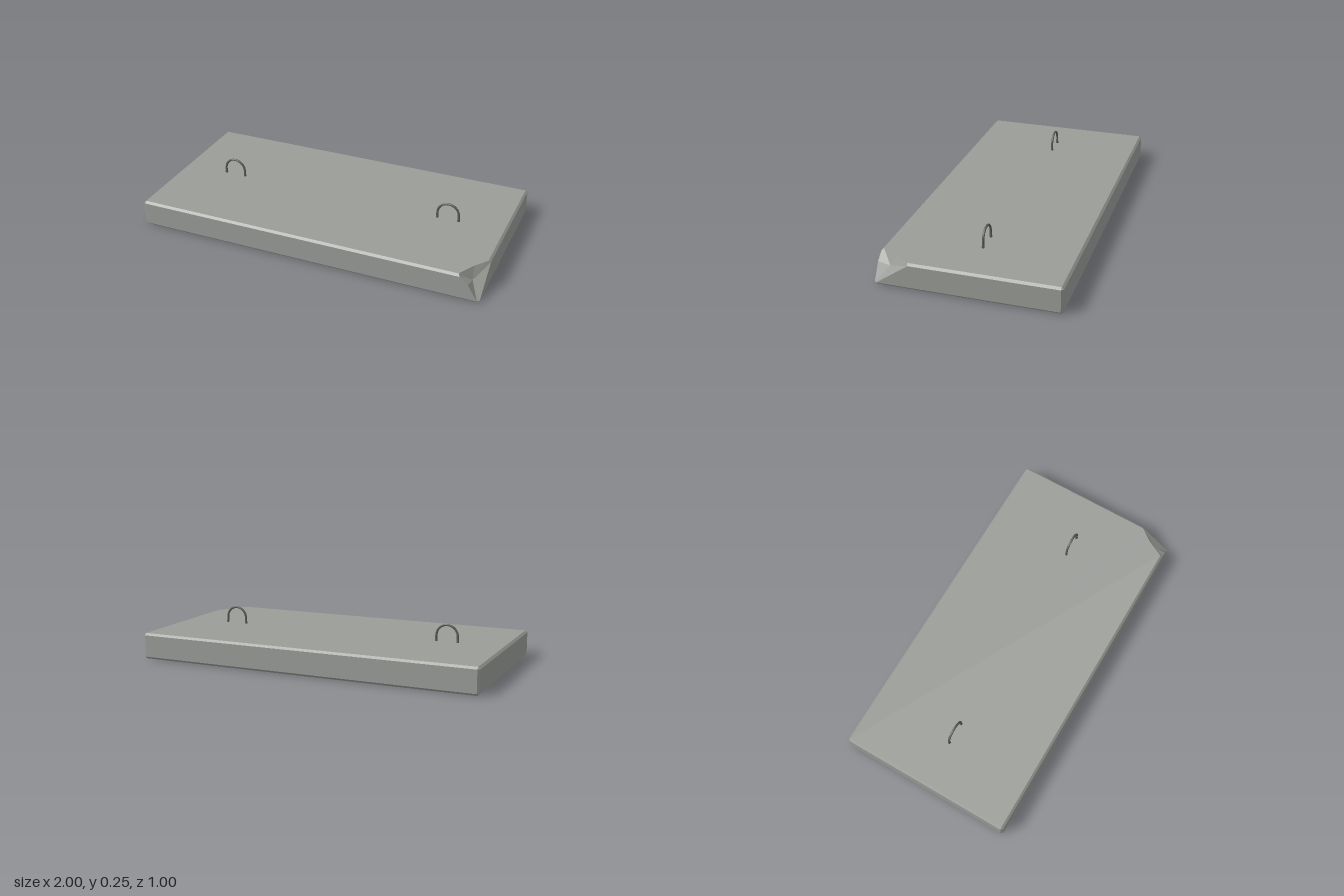
import * as THREE from 'three';

const W = 1, H = 0.15, D = 0.5, B = 0.012; // half width, height, half depth, bevel

// Bevelled points at one vertical corner of the slab
function corner(sx, sz) {
  const x = sx * (W - B), z = sz * (D - B);
  return {
    bo: [x, 0, z], bx: [sx * W, B, z], bz: [x, B, sz * D],
    t: [x, H, z], tx: [sx * W, H - B, z], tz: [x, H - B, sz * D],
  };
}

// Flat-faced geometry from convex polygons, each fanned from its first point
function polygons(faces) {
  const pos = [];
  for (const f of faces)
    for (let i = 1; i < f.length - 1; i++) pos.push(...f[0], ...f[i], ...f[i + 1]);
  const g = new THREE.BufferGeometry();
  g.setAttribute('position', new THREE.Float32BufferAttribute(pos, 3));
  g.computeVertexNormals();
  return g;
}

function slabGeometry() {
  const FL = corner(-1, 1), FR = corner(1, 1), BR = corner(1, -1), BL = corner(-1, -1);
  // Rim of the broken corner
  const a = [0.88, H, D - B], a2 = [0.888, H - B, D], d = [0.934, 0.1, D];
  const m = [0.932, H, 0.39], b = [W - B, H, 0.315], b2 = [W, H - B, 0.308];
  const faces = [
    // main sides
    [BL.t, FL.t, a, m, b, BR.t],
    [BL.bo, BR.bo, FR.bo, FL.bo],
    [FL.bz, FR.bz, d, a2, FL.tz],
    [FR.bx, BR.bx, BR.tx, b2],
    [BR.bz, BL.bz, BL.tz, BR.tz],
    [BL.bx, FL.bx, FL.tx, BL.tx],
    // lower bevels
    [FL.bo, FR.bo, FR.bz, FL.bz],
    [FR.bo, BR.bo, BR.bx, FR.bx],
    [BR.bo, BL.bo, BL.bz, BR.bz],
    [BL.bo, FL.bo, FL.bx, BL.bx],
    // upper bevels
    [FL.tz, a2, a, FL.t],
    [b2, BR.tx, BR.t, b],
    [BR.tz, BL.tz, BL.t, BR.t],
    [BL.tx, FL.tx, FL.t, BL.t],
    // corner bevels
    [FL.bx, FL.bz, FL.tz, FL.tx], [FL.bo, FL.bz, FL.bx], [FL.tx, FL.tz, FL.t],
    [BR.bx, BR.bz, BR.tz, BR.tx], [BR.bo, BR.bz, BR.bx], [BR.tx, BR.tz, BR.t],
    [BL.bz, BL.bx, BL.tx, BL.tz], [BL.bo, BL.bx, BL.bz], [BL.tz, BL.tx, BL.t],
    [FR.bo, FR.bx, FR.bz],
  ];
  // Broken corner: facets running from the rim to a sunken point
  const pit = [0.94, 0.09, 0.43];
  const rim = [FR.bz, FR.bx, b2, b, m, a, a2, d];
  rim.forEach((p, i) => faces.push([pit, p, rim[(i + 1) % rim.length]]));
  return polygons(faces);
}

// Steel lifting loop: two short legs joined by a half circle
function liftingLoop(material) {
  const g = new THREE.Group();
  const r = 0.062, spring = 0.183;
  const pts = [new THREE.Vector3(-r, H - 0.01, 0), new THREE.Vector3(-r, 0.165, 0)];
  for (let i = 0; i <= 8; i++) {
    const t = Math.PI * (1 - i / 8);
    pts.push(new THREE.Vector3(r * Math.cos(t), spring + r * Math.sin(t), 0));
  }
  pts.push(new THREE.Vector3(r, 0.165, 0), new THREE.Vector3(r, H - 0.01, 0));
  const rod = new THREE.Mesh(
    new THREE.TubeGeometry(new THREE.CatmullRomCurve3(pts), 32, 0.0065, 8), material);
  rod.name = 'loopRod';
  g.add(rod);
  // thicker feet where the rod enters the slab
  for (const s of [-1, 1]) {
    const foot = new THREE.Mesh(new THREE.CylinderGeometry(0.006, 0.0085, 0.025, 8), material);
    foot.position.set(s * r, H + 0.01, 0);
    foot.name = 'loopFoot';
    g.add(foot);
  }
  return g;
}

export function createModel() {
  const concrete = new THREE.MeshStandardMaterial({ color: 0x999c97 });
  concrete.name = 'concrete';
  const steel = new THREE.MeshStandardMaterial({ color: 0x5a605e });
  steel.name = 'steel';

  const model = new THREE.Group();
  model.name = 'concreteSlab';
  const slab = new THREE.Mesh(slabGeometry(), concrete);
  slab.name = 'slab';
  model.add(slab);

  for (const s of [-1, 1]) {
    const loop = liftingLoop(steel);
    loop.name = s > 0 ? 'leftLiftingLoop' : 'rightLiftingLoop';
    loop.position.x = s * 0.667;
    model.add(loop);
  }
  return model;
}
